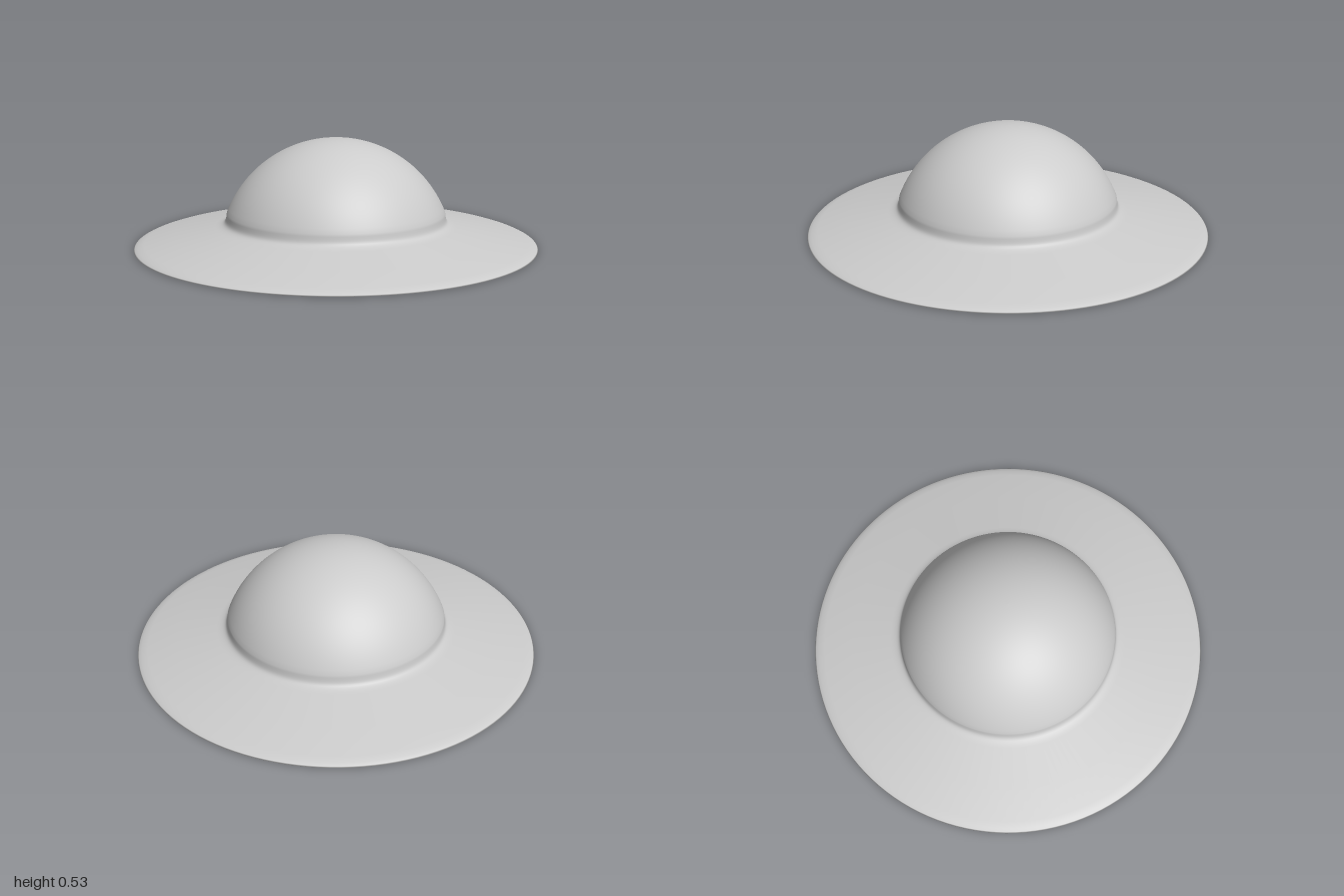
import * as THREE from 'three';

// Points on a dome arc, from the apex down to the given rim radius
function domeArc(top, rimRadius, rimY, steps) {
  const h = top - rimY;
  const R = (rimRadius * rimRadius + h * h) / (2 * h);
  const end = Math.asin(rimRadius / R);
  const points = [];
  for (let i = 0; i <= steps; i++) {
    const a = (end * i) / steps;
    points.push(new THREE.Vector2(R * Math.sin(a), top - R + R * Math.cos(a)));
  }
  return points;
}

// Neck fillet curving from the dome wall out onto the brim
function neck(wallR, wallY, brimR, brimY) {
  return new THREE.CubicBezierCurve(
    new THREE.Vector2(wallR, wallY),
    new THREE.Vector2(wallR + 0.007, wallY - 0.045),
    new THREE.Vector2(brimR - 0.055, brimY + 0.012),
    new THREE.Vector2(brimR, brimY)
  ).getPoints(10).slice(1);
}

export function createModel() {
  const group = new THREE.Group();
  group.name = 'hat';

  // Underside: hollow crown, neck and lower brim face
  const inner = [...domeArc(0.505, 0.52, 0.15, 28), ...neck(0.52, 0.15, 0.6, 0.074)];

  // Thin rounded rim, from below to above
  const rim = [[0.8, 0.035], [0.95, 0.003], [0.97, 0], [0.99, 0], [1, 0.003], [0.995, 0.008],
    [0.98, 0.015], [0.95, 0.025], [0.8, 0.057]].map(([r, y]) => new THREE.Vector2(r, y));

  // Top side: upper brim face, neck and crown
  const outer = [...domeArc(0.53, 0.543, 0.165, 28), ...neck(0.543, 0.165, 0.6, 0.098)].reverse();

  // One continuous shell revolved around the vertical axis
  const shell = new THREE.Mesh(
    new THREE.LatheGeometry([...inner, ...rim, ...outer], 128),
    new THREE.MeshStandardMaterial({ color: 0xcccccc })
  );
  shell.name = 'crownAndBrim';
  group.add(shell);

  return group;
}
